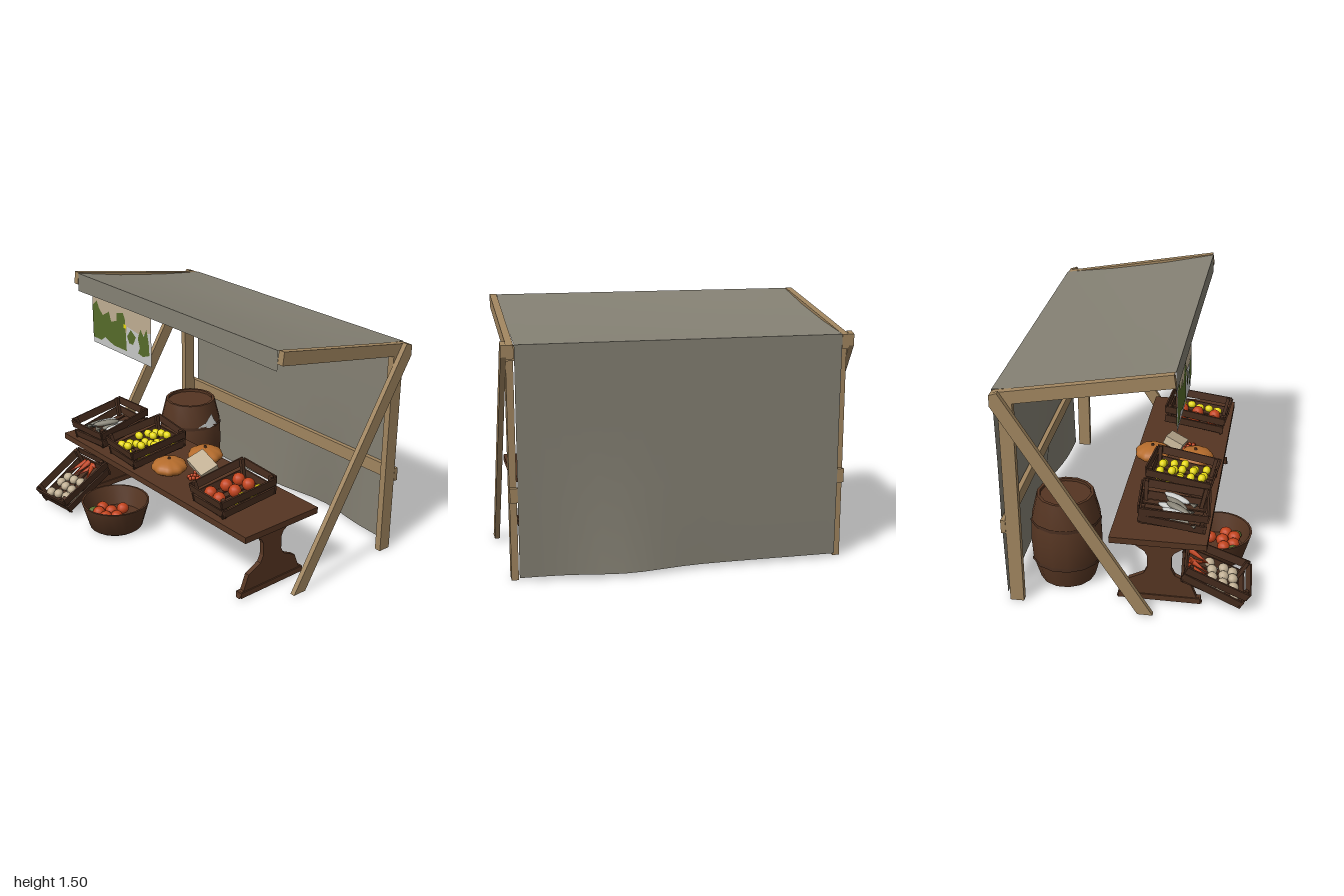
import * as THREE from 'three';
import { toCreasedNormals } from 'three/addons/utils/BufferGeometryUtils.js';

const paint = (name, color, side = THREE.FrontSide) => {
  const m = new THREE.MeshStandardMaterial({ color, side });
  m.name = name;
  return m;
};

export function createModel() {
  const root = new THREE.Group();
  root.name = 'marketStall';
  const D = THREE.DoubleSide;
  const M = {
    frame: paint('paleTimber', 0xa0855f),
    cloth: paint('greyCanvas', 0x848073, D),
    wood: paint('darkWood', 0x553522),
    crate: paint('crateWood', 0x4a2f20),
    yellow: paint('lemonYellow', 0xf0e212, D),
    pumpkin: paint('pumpkinOrange', 0xb56c2c),
    red: paint('tomatoRed', 0xc2431c),
    green: paint('leafGreen', 0x566b2a, D),
    pale: paint('paleGrey', 0xc6c8c6, D),
    cream: paint('cream', 0xbfae92, D),
  };
  let seed = 7;
  const rnd = (a) => {
    seed = (seed * 16807) % 2147483647;
    return (seed / 2147483647 * 2 - 1) * a;
  };
  const add = (parent, name, geo, mat, x = 0, y = 0, z = 0, rx = 0, ry = 0, rz = 0) => {
    const m = new THREE.Mesh(geo, mat);
    m.name = name;
    m.position.set(x, y, z);
    m.rotation.set(rx, ry, rz);
    parent.add(m);
    return m;
  };
  const group = (name, x, y, z, rx = 0, ry = 0) => {
    const g = new THREE.Group();
    g.name = name;
    g.position.set(x, y, z);
    g.rotation.set(rx, ry, 0);
    root.add(g);
    return g;
  };
  const box = (w, h, d) => new THREE.BoxGeometry(w, h, d);
  const shape = (pts) => new THREE.Shape(pts.map(([a, b]) => new THREE.Vector2(a, b)));
  const lathe = (pts, n) => toCreasedNormals(
    new THREE.LatheGeometry(pts.map(([r, y]) => new THREE.Vector2(r, y)), n), 0.7);
  // board cut from a (z, y) outline, with its thickness along x
  const board = (pts, t) => new THREE.ExtrudeGeometry(shape(pts), { depth: t, bevelEnabled: false })
    .rotateY(-Math.PI / 2).translate(t / 2, 0, 0);
  const ball = (parent, name, mat, r, x, y, z, sx = 1, sy = 1, sz = 1) => {
    const b = add(parent, name, new THREE.SphereGeometry(r, 12, 8), mat, x, y, z);
    b.scale.set(sx, sy, sz);
    return b;
  };

  // timber frame
  for (const s of [-1, 1]) {
    add(root, 'backPost', box(0.04, 1.28, 0.08), M.frame, s * 0.95, 0.65, -0.6);
    add(root, 'roofBeam', board([[0.3, 1.51], [0.31, 1.434], [-0.676, 1.26], [-0.676, 1.335]], 0.04), M.frame, s * 0.95);
    add(root, 'brace', board([[0.196, 0.014], [0.108, 0.014], [-0.676, 1.27], [-0.676, 1.335], [-0.632, 1.35]], 0.03), M.frame, s * 0.985);
  }
  for (const y of [0.505, 1.29]) add(root, 'backRail', box(1.94, 0.082, 0.028), M.frame, 0, y, -0.655);

  // canvas: front flap, roof and back sheet as one bent strip
  const rows = [[0.308, 1.39], [0.305, 1.507], [-0.02, 1.438], [-0.36, 1.38], [-0.68, 1.337], [-0.674, 0.9], [-0.674, 0.5], [-0.664, 0.03]];
  const canvas = new THREE.PlaneGeometry(1.855, 1, 16, rows.length - 1);
  const cp = canvas.attributes.position;
  for (let i = 0; i < cp.count; i++) {
    const x = cp.getX(i), row = Math.floor(i / 17);
    let [z, y] = rows[row];
    if (row === 7) z -= 0.06 * Math.exp(-(((x - 0.32) / 0.27) ** 2));
    if (row === 0) y += 0.01 * Math.cos(x * 1.6);
    if (row === 2 || row === 3) y -= 0.012 * Math.cos(x * 1.6);
    cp.setXYZ(i, x, y, z);
  }
  add(root, 'canvas', toCreasedNormals(canvas, 0.7), M.cloth);

  // painted hanging, the same on both faces
  const banner = [
    ['bannerSheet', M.pale, [[-0.79, 1.085], [-0.18, 1.085], [-0.18, 1.4], [-0.79, 1.4]]],
    ['bannerSky', M.cream, [[-0.79, 1.4], [-0.18, 1.4], [-0.18, 1.3], [-0.29, 1.26], [-0.42, 1.28], [-0.43, 1.235], [-0.79, 1.235]]],
    ['bannerFoliage', M.green, [[-0.79, 1.33], [-0.74, 1.37], [-0.72, 1.33], [-0.68, 1.29], [-0.61, 1.33], [-0.59, 1.27], [-0.53, 1.29], [-0.53, 1.34],
      [-0.46, 1.36], [-0.44, 1.32], [-0.43, 1.12], [-0.57, 1.12], [-0.66, 1.15], [-0.7, 1.12], [-0.79, 1.12]]],
    ['bannerBush', M.green, [[-0.42, 1.22], [-0.38, 1.27], [-0.33, 1.235], [-0.36, 1.18], [-0.4, 1.18]]],
    ['bannerTree', M.green, [[-0.31, 1.235], [-0.28, 1.3], [-0.25, 1.26], [-0.22, 1.315], [-0.2, 1.235], [-0.195, 1.155], [-0.26, 1.13], [-0.31, 1.14], [-0.29, 1.18]]],
    ['bannerFruit', M.yellow, [[-0.455, 1.265], [-0.43, 1.265], [-0.43, 1.29], [-0.455, 1.29]]],
  ];
  banner.forEach(([name, mat, pts], i) => {
    for (const s of i ? [-1, 1] : [1]) add(root, name, new THREE.ShapeGeometry(shape(pts)), mat, 0, 0, 0.295 + s * Math.min(i, 3) * 0.0015);
  });

  // trestle table
  add(root, 'tableTop', box(1.805, 0.038, 0.555), M.wood, -0.002, 0.436, 0.208);
  const half = [[0.18, 0.418], [0.18, 0.39], [0.15, 0.384], [0.085, 0.34], [0.07, 0.31], [0.07, 0.23], [0.09, 0.19], [0.18, 0.145], [0.215, 0.055], [0.23, 0.05], [0.248, 0.014]];
  const leg = [...half.map(([z, y]) => [0.21 + z, y]), ...half.slice().reverse().map(([z, y]) => [0.21 - z, y])];
  for (const x of [-0.83, 0.81]) {
    add(root, 'tableLeg', board(leg, 0.03), M.wood, x);
    add(root, 'legFoot', box(0.045, 0.034, 0.48), M.wood, x, 0.032, 0.21);
    add(root, 'legCap', box(0.045, 0.03, 0.36), M.wood, x, 0.404, 0.21);
  }

  // barrel with hoops and a pale patch on its side
  const barrel = group('barrel', -0.64, 0, -0.37);
  add(barrel, 'barrelBody', lathe([[0, 0.008], [0.165, 0.008], [0.205, 0.15], [0.213, 0.28], [0.207, 0.41], [0.168, 0.567], [0.15, 0.567], [0.15, 0.55], [0, 0.55]], 14), M.wood);
  for (const [y, r] of [[0.155, 0.206], [0.415, 0.206]]) add(barrel, 'barrelHoop', new THREE.CylinderGeometry(r + 0.006, r + 0.006, 0.022, 14, 1, true), M.crate, 0, y, 0);
  const patch = new THREE.ShapeGeometry(shape([[-0.09, 0.425], [-0.03, 0.45], [0.03, 0.5], [0.045, 0.46], [0.07, 0.42], [0, 0.412]]));
  const pp = patch.attributes.position;
  for (let i = 0; i < pp.count; i++) {
    const z = -pp.getX(i), y = pp.getY(i), r = 0.212 - (y - 0.41) * 0.25;
    pp.setXYZ(i, Math.sqrt(r * r - z * z) + 0.003, y, z);
  }
  patch.computeVertexNormals();
  add(barrel, 'barrelPatch', patch, M.pale);

  // round tub of tomatoes
  const tub = group('tub', -0.333, 0, 0.49);
  add(tub, 'tubBody', lathe([[0, 0.012], [0.15, 0.012], [0.168, 0.025], [0.215, 0.19], [0.203, 0.19], [0.165, 0.07], [0, 0.07]], 24), M.wood);
  for (const [x, z] of [[0, 0.035], [-0.075, 0.05], [0.08, 0.05], [-0.035, 0.105], [0.042, 0.105], [0.02, -0.04]]) ball(tub, 'tomato', M.red, 0.039, x, 0.125, z, 1, 0.9, 1);
  for (const x of [-0.085, 0.08]) ball(tub, 'greenPepper', M.green, 0.032, x, 0.115, 0.11, 1, 0.8, 1.2);

  // slatted crate, slightly splayed and crooked
  const crate = (name, x, y, z, rx, ry, w, d) => {
    const g = group(name, x, y, z, rx, ry);
    for (let i = 0; i < 5; i++) add(g, 'floorSlat', box(w / 6.5, 0.01, d), M.crate, (i - 2) * w / 5, 0.006, 0);
    for (const s of [-1, 1]) {
      for (const t of [-1, 1]) add(g, 'cornerPost', box(0.022, 0.13, 0.022), M.crate, s * (w / 2 - 0.005), 0.068, t * (d / 2 - 0.012), t * 0.1, 0, -s * 0.12);
      for (const k of [0, 1]) {
        const out = 0.006 + k * 0.012, h = 0.035 + k * 0.066;
        add(g, 'endSlat', box(w + 0.03, 0.05, 0.01), M.crate, 0, h, s * (d / 2 + out), s * 0.12, 0, rnd(0.06));
        add(g, 'sideSlat', box(0.01, 0.05, d + 0.03), M.crate, s * (w / 2 + out), h, 0, rnd(0.06), 0, -s * 0.14);
      }
    }
    return g;
  };

  const fishCrate = crate('fishCrate', -0.675, 0.482, 0.26, 0.13, 0.08, 0.26, 0.36);
  for (let i = 0; i < 6; i++) {
    const fish = new THREE.Group();
    fish.name = 'fish';
    ball(fish, 'fishBody', i % 2 ? M.pale : M.cloth, 0.024, 0, 0, 0, 1, 0.8, 3.6);
    add(fish, 'fishTail', new THREE.ConeGeometry(0.028, 0.05, 4).scale(1, 1, 0.3), M.cloth, 0, 0, 0.1, -Math.PI / 2);
    fish.position.set((i - 2.5) * 0.036, 0.045 + (i % 3) * 0.012, rnd(0.04));
    fish.rotation.y = -0.45 + rnd(0.35);
    fishCrate.add(fish);
  }

  const lemonCrate = crate('lemonCrate', -0.285, 0.482, 0.26, 0.13, -0.08, 0.27, 0.36);
  for (let i = 0; i < 20; i++) ball(lemonCrate, 'lemon', M.yellow, 0.028, (i % 4 - 1.5) * 0.06 + rnd(0.008), 0.05 + (i % 3) * 0.012, (Math.floor(i / 4) - 2) * 0.064 + rnd(0.01), 1.1, 0.9, 0.9);

  const fruitCrate = crate('fruitCrate', 0.55, 0.482, 0.26, 0.13, -0.06, 0.27, 0.36);
  for (let i = 0; i < 6; i++) ball(fruitCrate, 'tomato', M.red, 0.039, -0.08 + (i % 2) * 0.085, 0.052, (Math.floor(i / 2) - 1) * 0.1 + rnd(0.015));
  for (let i = 0; i < 5; i++) ball(fruitCrate, 'lemon', M.yellow, 0.026, 0.09 + rnd(0.012), 0.05, (i - 2) * 0.06, 1, 0.9, 1.1);

  // leaning crate on the ground
  const rootCrate = crate('vegetableCrate', -0.755, 0.115, 0.495, 0.45, 0.08, 0.26, 0.36);
  for (let i = 0; i < 12; i++) ball(rootCrate, 'onion', M.cream, 0.032, (i % 4 - 1.5) * 0.066 + rnd(0.008), 0.05, Math.floor(i / 4) * 0.075 - 0.02 + rnd(0.012), 1, 0.85, 1);
  for (let i = 0; i < 5; i++) add(rootCrate, 'carrot', new THREE.ConeGeometry(0.02, 0.15, 8), M.red, (i - 2) * 0.045, 0.06, -0.1, 1.57, 0, rnd(0.5));

  // ribbed pumpkins
  for (const [x, z] of [[0.005, 0.315], [0.02, 0.042]]) {
    const geo = new THREE.SphereGeometry(0.108, 40, 14);
    const p = geo.attributes.position;
    for (let i = 0; i < p.count; i++) {
      const k = 1 + 0.035 * Math.cos(9 * Math.atan2(p.getZ(i), p.getX(i)));
      p.setXYZ(i, p.getX(i) * k, p.getY(i) * 0.46, p.getZ(i) * k);
    }
    geo.computeVertexNormals();
    const g = group('pumpkin', x, 0.502, z);
    add(g, 'pumpkinBody', geo, M.pumpkin);
    add(g, 'pumpkinStem', new THREE.CylinderGeometry(0.007, 0.012, 0.02, 6), M.wood, 0, 0.051, 0);
  }

  // tilted slab of cheese and a handful of cherries
  add(root, 'cheese', box(0.17, 0.05, 0.12), M.cream, 0.15, 0.52, 0.17, 0.4, -0.2, -0.2);
  for (let i = 0; i < 12; i++) ball(root, 'cherry', M.red, 0.013, 0.18 + (i % 4 - 1.5) * 0.026, 0.467 + (i % 5 === 0 ? 0.012 : 0), 0.25 + (Math.floor(i / 4) - 1) * 0.026 + rnd(0.006));

  return root;
}
